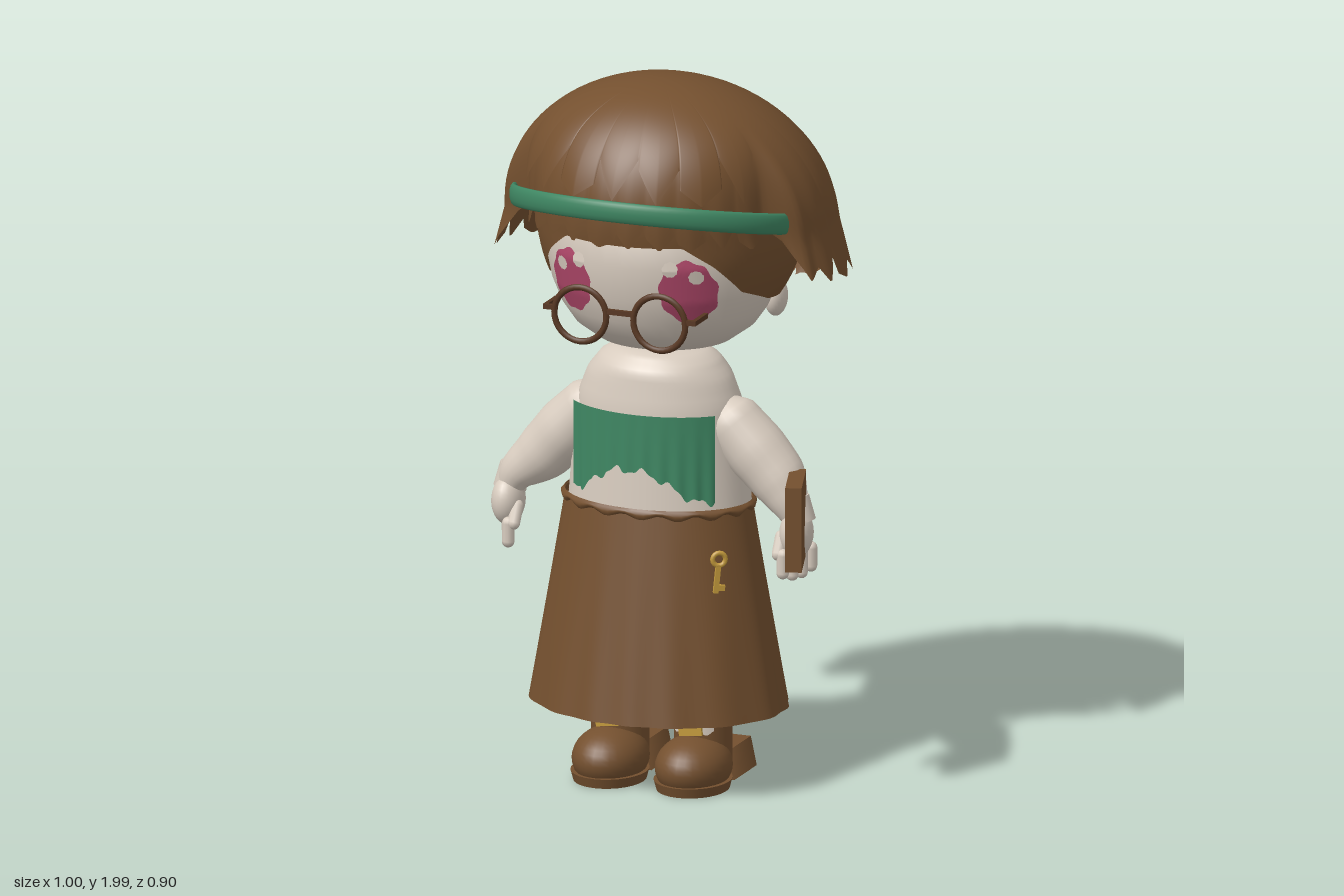
import * as THREE from 'three';
import { mergeVertices } from 'three/addons/utils/BufferGeometryUtils.js';

const mat = (name, color) => {
  const m = new THREE.MeshStandardMaterial({ color, side: THREE.DoubleSide });
  m.name = name;
  return m;
};
const { lerp, smoothstep, degToRad } = THREE.MathUtils;
const V = (x, y, z) => new THREE.Vector3(x, y, z);

// piecewise linear lookup in a list of [key, value]
function lookup(table, k) {
  for (let i = 1; i < table.length; i++) {
    const [a, p] = table[i - 1], [b, q] = table[i];
    if (k <= b) return lerp(p, q, Math.max(0, (k - a) / (b - a)));
  }
  return table[table.length - 1][1];
}

// smooth surface from f(u, v): u runs left to right, v from top to bottom
function surf(f, nu, nv) {
  const pos = [], idx = [];
  for (let j = 0; j <= nv; j++)
    for (let i = 0; i <= nu; i++) pos.push(...f(i / nu, j / nv));
  for (let j = 0; j < nv; j++)
    for (let i = 0; i < nu; i++) {
      const a = j * (nu + 1) + i, b = a + nu + 1;
      idx.push(a, b, b + 1, a, b + 1, a + 1);
    }
  let g = new THREE.BufferGeometry();
  g.setAttribute('position', new THREE.Float32BufferAttribute(pos, 3));
  g.setIndex(idx);
  g = mergeVertices(g, 1e-5);
  g.computeVertexNormals();
  return g;
}

// round limb along a path lying close to the xy plane
function limb(points, radii) {
  const curve = new THREE.CatmullRomCurve3(points);
  const table = radii.map((r, i) => [i / (radii.length - 1), r]);
  return surf((u, v) => {
    const c = curve.getPoint(v), t = curve.getTangent(v), a = u * Math.PI * 2;
    const l = Math.hypot(t.x, t.y) || 1, r = lookup(table, v);
    const n = r * Math.cos(a) / l;
    return [c.x - t.y * n, c.y + t.x * n, c.z - r * Math.sin(a)];
  }, 20, 24);
}

// flat band whose thin side faces away from the y axis
function strap(points, wide, thin) {
  const curve = new THREE.CatmullRomCurve3(points);
  return surf((u, v) => {
    const c = curve.getPoint(v), out = V(c.x, 0, c.z).normalize(), a = -u * Math.PI * 2;
    const across = curve.getTangent(v).cross(out).normalize();
    return c.addScaledVector(out, thin * Math.cos(a)).addScaledVector(across, wide * Math.sin(a)).toArray();
  }, 14, 48);
}

// hair dome with a ragged lower edge
function hairShell({ range = 180, top = 0.4, low, front, side, depth, back, edge, teeth, amp, grow = 1, flare = 0 }) {
  const cy = 1.6;
  return surf((u, v) => {
    const deg = lerp(-range, range, u), t = degToRad(deg), ad = Math.abs(deg);
    const tooth = Math.abs(2 * ((u * teeth) % 1) - 1);
    const vary = 0.65 + 0.35 * Math.sin(Math.floor(u * teeth - 1e-6) * 2.3);
    const e = lookup(edge, ad) + amp * tooth * vary;
    const phi = v * Math.acos((e - cy) / (e > cy ? top : low));
    const y = cy + Math.cos(phi) * (phi < Math.PI / 2 ? top : low);
    let rho = Math.sin(phi);
    if (phi > Math.PI / 2) rho = lerp(1 + flare * (cy - y) / 0.12, rho, flare ? smoothstep(ad, 105, 150) : 1);
    rho *= grow * (1 + (amp ? 0.018 : 0) * v ** 3 * (0.5 - tooth));
    const a = lerp(side, lerp(front, side, smoothstep(ad, 65, 73)), smoothstep(phi, 0.6, 1.5));
    const shift = 0.07 * Math.max(0, Math.cos(phi));
    return [a * rho * Math.sin(t) - 0.01, y, shift + (ad > 90 ? back : depth) * rho * Math.cos(t)];
  }, 252, 28);
}

const headProfile = [[1.24, 0], [1.245, 0.12], [1.265, 0.19], [1.31, 0.252], [1.36, 0.287], [1.43, 0.315],
  [1.53, 0.335], [1.63, 0.32], [1.72, 0.26], [1.79, 0.15], [1.82, 0]];
const CX = -0.01;

export function createModel() {
  const model = new THREE.Group();
  const brown = mat('brown', 0x74502f), dark = mat('darkBrown', 0x573722), skin = mat('cream', 0xd8ccbf);
  const green = mat('green', 0x3f8763), pink = mat('pink', 0xb0486a), gold = mat('gold', 0xc39a3c);
  const add = (name, geo, m, x = 0, y = 0, z = 0, parent = model) => {
    const mesh = new THREE.Mesh(geo, m);
    mesh.name = name;
    mesh.position.set(x, y, z);
    parent.add(mesh);
    return mesh;
  };
  const ball = (name, m, x, y, z, rx, ry, rz) =>
    add(name, new THREE.SphereGeometry(1, 24, 16).scale(rx, ry, rz), m, x, y, z);

  // head
  const head = new THREE.LatheGeometry(headProfile.map(([y, r]) => new THREE.Vector2(r, y)), 40);
  add('head', head.scale(1, 1, 0.93), skin, CX, 0, 0.04);
  for (const s of [-1, 1]) ball('ear', skin, CX + s * 0.275, 1.365, -0.085, 0.03, 0.055, 0.045);

  // eyes with ragged rims, laid onto the face
  const faceZ = (x, y) => 0.04 + 0.93 * Math.sqrt(Math.max(0, lookup(headProfile, y) ** 2 - x * x));
  const patch = (name, m, cx, cy, rx, ry, lift) => add(name, surf((u, v) => {
    const a = -u * Math.PI * 2, r = v * (1 + 0.04 * Math.sin(a * 9));
    const x = cx + rx * r * Math.cos(a), y = cy + ry * r * Math.sin(a);
    return [x + CX, y, faceZ(x, y) + lift];
  }, 48, 8), m);
  for (const s of [-1, 1]) {
    patch('eye', pink, s * 0.172, 1.465, 0.07, 0.092, 0.007);
    patch('eyeGlint', skin, s * 0.198, 1.51, 0.018, 0.02, 0.011);
    patch('eyeGlint', skin, s * 0.135, 1.535, 0.02, 0.022, 0.011);
  }

  // glasses
  for (const s of [-1, 1]) {
    add('glassesRim', new THREE.TorusGeometry(0.077, 0.009, 8, 32), dark, -0.012 + s * 0.117, 1.388, 0.36);
    add('glassesTemple', new THREE.BoxGeometry(0.012, 0.014, 0.09), dark, -0.012 + s * 0.22, 1.4, 0.32);
    add('glassesHinge', new THREE.BoxGeometry(0.04, 0.014, 0.012), dark, -0.012 + s * 0.205, 1.4, 0.36);
  }
  add('glassesBridge', new THREE.BoxGeometry(0.09, 0.014, 0.012), dark, -0.012, 1.405, 0.36);

  // hair in three layers
  add('innerHair', hairShell({
    low: 0.38, front: 0.365, side: 0.37, depth: 0.378, back: 0.37, teeth: 28, amp: 0, top: 0.36,
    edge: [[0, 1.6], [28, 1.6], [42, 1.54], [58, 1.45], [80, 1.4], [125, 1.365], [180, 1.28]],
  }), brown);
  const outer = { low: 0.43, front: 0.385, side: 0.462, depth: 0.41, back: 0.425 };
  add('outerHair', hairShell({
    ...outer, teeth: 28, amp: 0.065, flare: 0.065,
    edge: [[0, 1.6], [40, 1.6], [62, 1.58], [68, 1.6], [73, 1.47], [100, 1.45], [122, 1.43], [140, 1.36], [155, 1.24], [180, 1.18]],
  }), brown);
  add('topFringe', hairShell({
    ...outer, range: 64, teeth: 7, amp: 0.13, grow: 1.03, edge: [[0, 1.74], [64, 1.72]],
  }), brown);

  // hair band and its ribbon tails
  const bandPts = [];
  for (let i = 0; i <= 12; i++) {
    const a = Math.PI * i / 12;
    bandPts.push(V(CX + 0.407 * Math.cos(a), 1.63 + 0.085 * Math.sin(a), 0.08 + 0.358 * Math.sin(a)));
  }
  add('hairBand', strap(bandPts, 0.03, 0.012), green);
  for (const s of [-1, 1])
    add('ribbonTail', strap([V(s * 0.065, 1.58, -0.42), V(s * 0.1, 1.47, -0.444), V(s * 0.145, 1.36, -0.441)], 0.018, 0.006), green, CX);

  // torso
  const tw = [[0.78, 0.262], [1, 0.245], [1.1, 0.232], [1.17, 0.205], [1.22, 0.165], [1.245, 0.12], [1.25, 0]];
  const td = [[0.78, 0.19], [1.1, 0.17], [1.2, 0.155], [1.245, 0.11], [1.25, 0]];
  add('torso', surf((u, v) => {
    const y = lerp(1.25, 0.78, v ** 1.5), t = u * Math.PI * 2;
    return [CX + lookup(tw, y) * Math.sin(t), y, 0.078 + lookup(td, y) * Math.cos(t)];
  }, 40, 24), skin);

  // bib with a torn lower hem
  add('bib', surf((u, v) => {
    const t = lerp(-0.93, 0.93, u), c = Math.abs(2 * u - 0.95);
    const hem = 0.93 - 0.085 * smoothstep(c, 0.1, 0.9) + 0.009 * Math.sin(u * 37) + 0.004 * Math.sin(u * 83);
    const r = 1 + 0.012 * Math.sin(u * 60) * v;
    return [CX + 0.262 * r * Math.sin(t), lerp(1.09, hem, v), 0.078 + 0.19 * r * Math.cos(t)];
  }, 80, 6), green);

  // skirt with folds that deepen towards the hem
  const skirtAt = (t, v, inset = 0) => {
    const fold = 1 - inset + 0.01 * v * Math.sin(t * 16 + 1.5 * Math.sin(t * 3));
    return [-0.012 + (0.265 + 0.1 * v) * fold * Math.sin(t), lerp(0.82, 0.235, v),
      0.083 + (0.19 + 0.1 * v) * fold * Math.cos(t)];
  };
  add('skirt', surf((u, v) => skirtAt(u * Math.PI * 2, v), 128, 12), brown);
  add('skirtLining', surf((u, v) => skirtAt(lerp(-0.35, 0.35, u), lerp(0.1, 0.94, v), 0.06), 20, 8), green);
  add('waistFrill', surf((u, v) => {
    const t = u * Math.PI * 2, r = 1.01 + 0.04 * Math.sin(v * Math.PI);
    return [-0.012 + 0.265 * r * Math.sin(t), 0.825 - (0.025 + 0.008 * Math.sin(t * 16)) * v, 0.083 + 0.19 * r * Math.cos(t)];
  }, 96, 6), brown);

  // key charm on the skirt
  const charm = new THREE.Group();
  charm.name = 'keyCharm';
  charm.position.set(0.23, 0.665, 0.245);
  charm.rotation.set(0, 0.6, -0.1);
  model.add(charm);
  add('keyRing', new THREE.TorusGeometry(0.018, 0.007, 8, 16), gold, 0, 0.035, 0, charm);
  add('keyShaft', new THREE.BoxGeometry(0.014, 0.08, 0.012), gold, 0, -0.02, 0, charm);
  add('keyTooth', new THREE.BoxGeometry(0.024, 0.016, 0.012), gold, 0.012, -0.045, 0, charm);

  for (const s of [-1, 1]) {
    // arms and hands; the left hand hangs a little closer to the body
    const hx = s > 0 ? 0.415 : 0.438;
    add('arm', limb([V(s * 0.16, 1.11, 0.09), V(s * 0.2, 1.06, 0.09), V(s * 0.28, 0.975, 0.09),
      V(s * 0.35, 0.9, 0.095), V(s * (hx - 0.025), 0.845, 0.115), V(s * hx, 0.8, 0.125)],
    [0.03, 0.08, 0.088, 0.08, 0.055, 0.035]), skin);
    add('cuff', new THREE.CylinderGeometry(0.04, 0.046, 0.07, 16), skin, s * (hx - 0.005), 0.83, 0.115).rotation.z = s * 0.2;
    ball('palm', skin, s * hx, 0.765, 0.13, 0.045, 0.07, 0.06);
    for (let i = 0; i < 4; i++) {
      const len = [0.05, 0.065, 0.065, 0.05][i];
      add('finger', new THREE.CapsuleGeometry(0.018, len, 4, 10), skin, s * (hx + 0.022 - i * 0.014), 0.7 - len / 4, 0.08 + i * 0.033);
    }
    add('thumb', new THREE.CapsuleGeometry(0.018, 0.05, 4, 10), skin, s * (hx - 0.035), 0.735, 0.165).rotation.x = -0.5;

    // legs and boots
    const x = CX + s * 0.123;
    add('bootShaft', new THREE.CylinderGeometry(0.082, 0.08, 0.56, 20), brown, x, 0.34, 0.068);
    const toe = new THREE.SphereGeometry(1, 28, 18).scale(0.103, 0.085, 0.128);
    const p = toe.attributes.position;
    for (let i = 0; i < p.count; i++) p.setY(i, Math.max(-0.05, p.getY(i)));
    toe.computeVertexNormals();
    add('bootToe', toe, brown, x, 0.072, 0.135);
    add('toeSole', new THREE.CylinderGeometry(1, 0.93, 0.028, 28).scale(0.106, 1, 0.122), brown, x, 0.024, 0.14);
    const heel = add('bootHeel', new THREE.CylinderGeometry(0.095, 0.112, 0.085, 4, 1).rotateY(Math.PI / 4), brown, x, 0.057, -0.033);
    heel.scale.x = 1.05;
    // torn patch and buckle at the ankle
    add('anklePatch', surf((u, v) => {
      const t = lerp(-0.75, 0.75, u), hem = 0.02 + 0.006 * Math.sin(u * 17);
      return [x + 0.086 * Math.sin(t), 0.188 + lerp(hem, -hem, v), 0.068 + 0.086 * Math.cos(t)];
    }, 24, 3), skin);
    add('buckle', new THREE.BoxGeometry(0.068, 0.024, 0.009), gold, x, 0.174, 0.158).rotation.z = 0.12;
  }

  // book held in the left hand
  add('book', new THREE.BoxGeometry(0.045, 0.24, 0.19), brown, 0.44, 0.82, 0.195).rotation.y = 0.33;

  return model;
}
